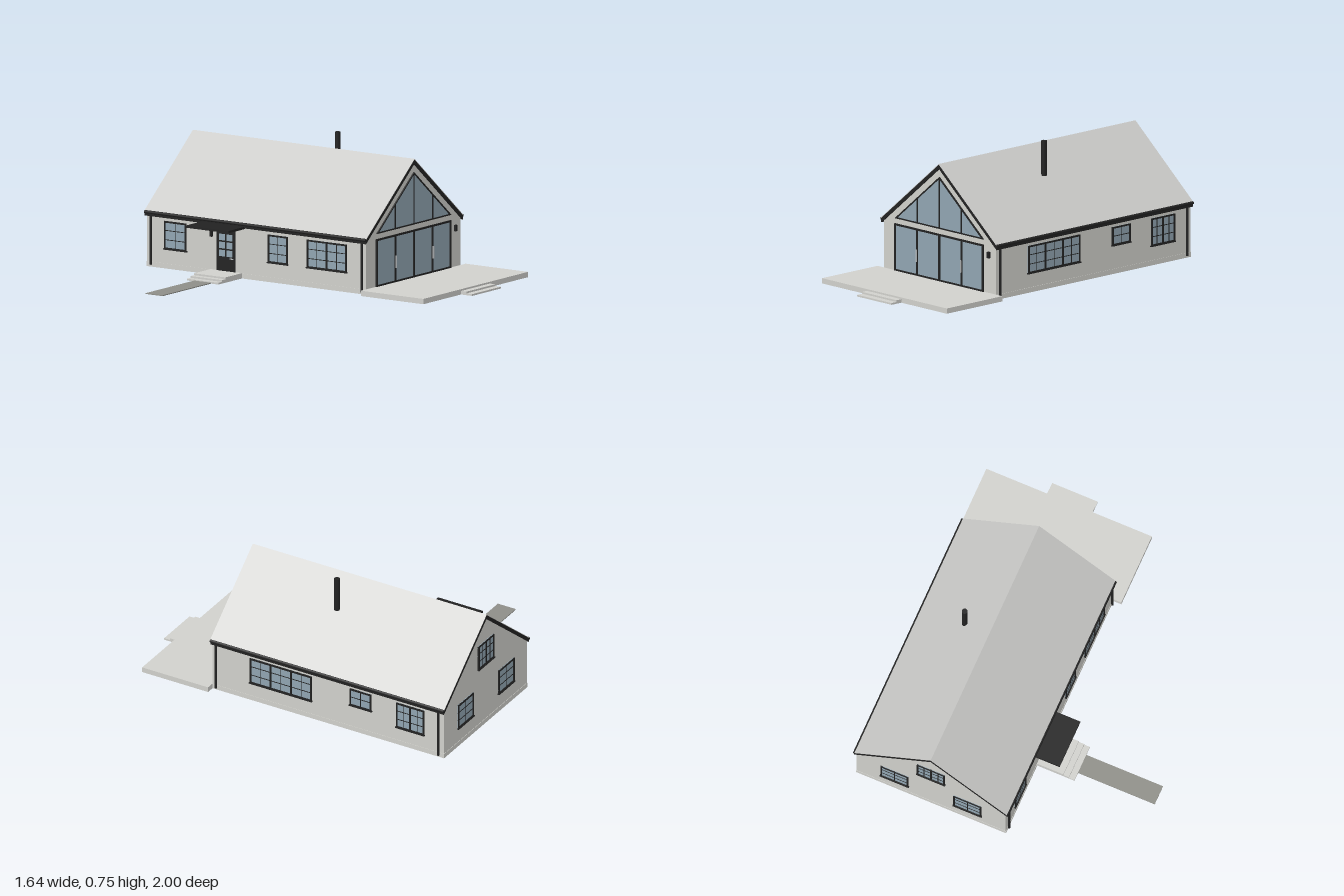
import * as THREE from 'three';

const paint = (name, color, extra = {}) => Object.assign(new THREE.MeshStandardMaterial({ color, ...extra }), { name });

export function createModel() {
  const wallMat = paint('wall grey', 0xd0d0cb);
  const roofMat = paint('roof grey', 0xcbcbc9);
  const stoneMat = paint('deck stone', 0xd0d0cc);
  const pathMat = paint('path grey', 0x8e8e88);
  const blackMat = paint('black trim', 0x222222);
  const glassMat = paint('glass blue', 0x90a4b1);
  const steelMat = paint('handle steel', 0xb8bcbe);

  const house = new THREE.Group();
  house.name = 'house';

  const add = (name, geo, mat, parent = house) => {
    const m = new THREE.Mesh(geo, mat);
    m.name = name;
    parent.add(m);
    return m;
  };
  // box given by its limits on each axis
  const box = (name, mat, x0, x1, y0, y1, z0, z1, parent = house) => {
    const m = add(name, new THREE.BoxGeometry(x1 - x0, y1 - y0, z1 - z0), mat, parent);
    m.position.set((x0 + x1) / 2, (y0 + y1) / 2, (z0 + z1) / 2);
    return m;
  };
  const outline = pts => new THREE.Shape(pts.map(p => new THREE.Vector2(...p)));
  const extrude = (name, shape, mat, z0, z1) => {
    const m = add(name, new THREE.ExtrudeGeometry(shape, { depth: z1 - z0, bevelEnabled: false }), mat);
    m.position.z = z0;
    return m;
  };

  const MID = 0.32, LEFT = -0.13, RIGHT = 0.77, FRONT = 0.5, BACK = -0.99;

  // walls and foundation
  extrude('walls', outline([[LEFT, 0.02], [RIGHT, 0.02], [RIGHT, 0.3], [MID, 0.674], [LEFT, 0.3]]), wallMat, BACK, FRONT);
  box('foundation', wallMat, LEFT - 0.002, RIGHT + 0.002, 0, 0.028, BACK - 0.002, FRONT);

  // roof: dark slab with a thin pale covering
  const chevron = (half, eave, ridge, t) => outline([
    [MID - half, eave - t], [MID, ridge - t], [MID + half, eave - t],
    [MID + half, eave], [MID, ridge], [MID - half, eave]]);
  extrude('roofSlab', chevron(0.462, 0.311, 0.694, 0.025), blackMat, -0.997, 0.508);
  extrude('roofCovering', chevron(0.462, 0.315, 0.698, 0.004), roofMat, -0.998, 0.509);

  // gutters and downpipes
  for (const s of [-1, 1]) {
    const gutter = add('gutter', new THREE.CylinderGeometry(0.009, 0.009, 1.505, 10), blackMat);
    gutter.rotation.x = Math.PI / 2;
    gutter.position.set(MID + s * 0.461, 0.308, -0.2445);
    for (const z of [0.475, -0.958]) {
      const pipe = add('downpipe', new THREE.CylinderGeometry(0.007, 0.007, 0.295, 10), blackMat);
      pipe.position.set(MID + s * 0.457, 0.16, z);
    }
  }

  // chimney
  add('chimney', new THREE.CylinderGeometry(0.016, 0.016, 0.2, 20), blackMat).position.set(0.49, 0.655, -0.135);

  // window: glass, border, thick mullions and thin glazing bars, facing local +z
  const makeWindow = (name, w, h, sections, cols, rows) => {
    const g = new THREE.Group();
    g.name = name;
    const bar = (part, cx, cy, bw, bh, d) =>
      box(part, blackMat, cx - bw / 2, cx + bw / 2, cy - bh / 2, cy + bh / 2, 0, d, g);
    box('glass', glassMat, -w / 2, w / 2, -h / 2, h / 2, 0, 0.003, g);
    const t = 0.009;
    for (const s of [-1, 1]) {
      bar('frameSide', s * (w - t) / 2, 0, t, h, 0.008);
      bar('frameRail', 0, s * (h - t) / 2, w, t, 0.008);
    }
    const n = sections * cols;
    for (let i = 1; i < n; i++) {
      const thick = i % cols === 0;
      bar(thick ? 'mullion' : 'glazingBar', -w / 2 + w * i / n, 0, thick ? 0.01 : 0.004, h, thick ? 0.007 : 0.005);
    }
    for (let j = 1; j < rows; j++) bar('glazingBar', 0, -h / 2 + h * j / rows, w, 0.004, 0.005);
    bar('sill', 0, -h / 2, w + 0.008, 0.006, 0.011);
    house.add(g);
    return g;
  };
  const sideWindow = (side, z0, z1, y0, y1, sections, cols, rows) => {
    const g = makeWindow('sideWindow', z1 - z0, y1 - y0, sections, cols, rows);
    g.rotation.y = side * Math.PI / 2;
    g.position.set(side > 0 ? RIGHT : LEFT, (y0 + y1) / 2, (z0 + z1) / 2);
  };
  sideWindow(1, -0.14, 0.258, 0.11, 0.268, 3, 2, 3);
  sideWindow(1, -0.525, -0.385, 0.162, 0.268, 1, 2, 2);
  sideWindow(1, -0.865, -0.685, 0.11, 0.268, 2, 2, 3);
  sideWindow(-1, -0.87, -0.72, 0.11, 0.268, 1, 2, 3);
  sideWindow(-1, -0.165, -0.03, 0.11, 0.268, 1, 2, 3);
  sideWindow(-1, 0.1, 0.37, 0.11, 0.268, 2, 2, 3);

  // back windows
  for (const [x, y, sections] of [[0.1, 0.19, 1], [0.54, 0.19, 1], [MID, 0.455, 2]]) {
    const g = makeWindow('backWindow', 0.168, 0.15, sections, 2, 3);
    g.rotation.y = Math.PI;
    g.position.set(x, y, BACK);
  }

  // glazed front doors
  const MULLIONS = [0.142, MID, 0.498];
  box('frontDoorGlass', glassMat, -0.038, 0.674, 0.03, 0.297, FRONT, FRONT + 0.003);
  for (const x of [-0.033, ...MULLIONS, 0.669])
    box('frontDoorPost', blackMat, x - 0.006, x + 0.006, 0.03, 0.297, FRONT, FRONT + 0.008);
  for (const y of [0.034, 0.293])
    box('frontDoorRail', blackMat, -0.038, 0.674, y - 0.005, y + 0.005, FRONT, FRONT + 0.008);
  for (const x of [0.142, 0.498])
    box('frontDoorHandle', steelMat, x - 0.003, x + 0.003, 0.11, 0.18, FRONT + 0.008, FRONT + 0.014);

  // triangular gable window
  const tri = t => [[-0.035 + 2.78 * t, 0.328 + t], [0.675 - 2.78 * t, 0.328 + t], [MID, 0.622 - 1.3 * t]];
  extrude('gableGlass', outline(tri(0.002)), glassMat, FRONT, FRONT + 0.003);
  const gableFrame = outline(tri(0));
  gableFrame.holes.push(outline(tri(0.007)));
  extrude('gableFrame', gableFrame, blackMat, FRONT, FRONT + 0.008);
  for (const x of MULLIONS) {
    const top = 0.618 - Math.abs(x - MID) * 0.828;
    box('gableMullion', blackMat, x - 0.004, x + 0.004, 0.33, top, FRONT, FRONT + 0.007);
  }

  // wall lamps
  box('frontLamp', blackMat, 0.708, 0.724, 0.23, 0.265, FRONT, FRONT + 0.013);
  box('entranceLamp', blackMat, LEFT - 0.013, LEFT, 0.215, 0.25, -0.557, -0.541);

  // front deck and steps
  box('deck', stoneMat, -0.18, 0.82, 0, 0.03, FRONT, 0.925);
  box('deckStep', stoneMat, 0.18, 0.455, 0, 0.02, 0.925, 0.962);
  box('deckStep', stoneMat, 0.18, 0.455, 0, 0.01, 0.962, 1);

  // side entrance: door with panes, canopy, landing, steps and path
  const DOOR_Z = -0.45;
  box('entranceDoor', blackMat, LEFT - 0.006, LEFT, 0.03, 0.26, DOOR_Z - 0.062, DOOR_Z + 0.062);
  for (const dz of [-0.025, 0.025])
    for (const y of [0.13, 0.175, 0.22])
      box('entranceDoorPane', glassMat, LEFT - 0.008, LEFT - 0.005, y - 0.018, y + 0.018, DOOR_Z + dz - 0.02, DOOR_Z + dz + 0.02);
  box('entranceDoorHandle', steelMat, LEFT - 0.012, LEFT - 0.006, 0.1, 0.105, DOOR_Z + 0.03, DOOR_Z + 0.052);
  box('canopy', blackMat, -0.29, LEFT, 0.281, 0.294, -0.61, -0.322);
  box('landing', stoneMat, -0.29, LEFT, 0, 0.03, -0.557, -0.343);
  box('entranceStep', stoneMat, -0.323, -0.29, 0, 0.02, -0.557, -0.343);
  box('entranceStep', stoneMat, -0.357, -0.323, 0, 0.01, -0.557, -0.343);
  box('path', pathMat, -0.82, -0.357, 0, 0.005, -0.507, -0.392);

  return house;
}
